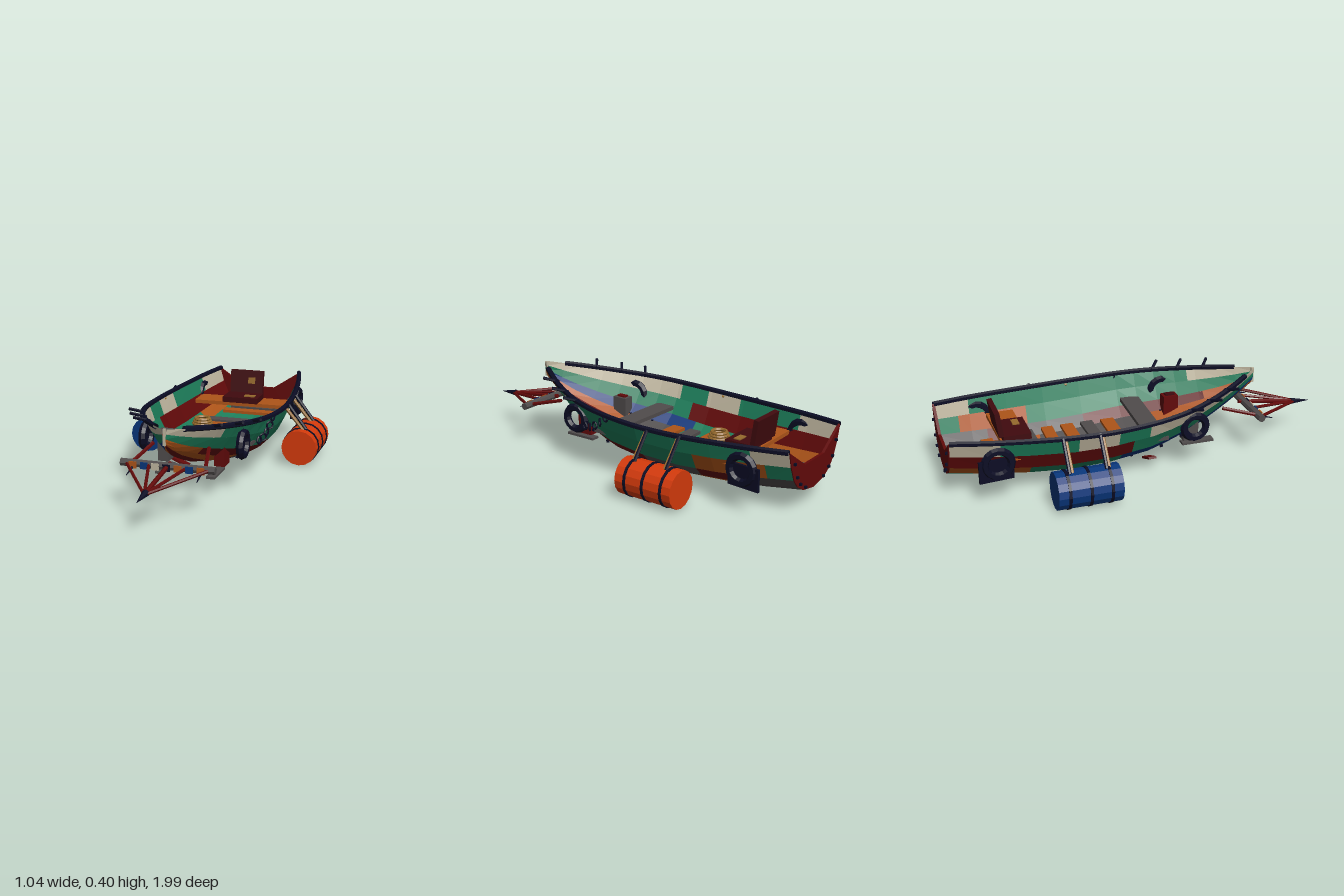
import * as THREE from 'three';

const COLORS = {
  cream: 0xbfb69f, green: 0x1d7d5a, gray: 0x504c4c, wood: 0xae5519, red: 0x620a0a,
  blue: 0x08367a, orange: 0xd43a0b, navy: 0x0b0c24, tan: 0x966a2c, brown: 0x400a0e,
};

// hull stations: z, half width, keel height, sheer height
const STATIONS = [
  [-0.98, 0.24, 0.085, 0.325], [-0.8, 0.28, 0.06, 0.32], [-0.6, 0.312, 0.04, 0.315],
  [-0.4, 0.335, 0.03, 0.312], [-0.2, 0.343, 0.04, 0.315], [0, 0.33, 0.068, 0.325],
  [0.1, 0.312, 0.088, 0.332], [0.2, 0.283, 0.112, 0.34], [0.3, 0.24, 0.142, 0.35],
  [0.4, 0.188, 0.18, 0.362], [0.5, 0.125, 0.225, 0.376], [0.58, 0.068, 0.272, 0.388], [0.655, 0.012, 0.325, 0.4],
];
const U = [0, 0.4, 0.63, 0.78, 0.91, 1];
const V = [0, 0.07, 0.2, 0.38, 0.68, 1];
const TOP = 5;

function station(z) {
  let i = 0;
  while (i < STATIONS.length - 2 && z > STATIONS[i + 1][0]) i++;
  const a = STATIONS[i], b = STATIONS[i + 1], t = (z - a[0]) / (b[0] - a[0]);
  return a.map((v, k) => v + (b[k] - v) * t);
}

// point on the hull at strake line k; sections turn to a V toward the bow
function hullPoint(z, k, side) {
  const [, w, keel, sheer] = station(z);
  const bow = Math.max(0, z / 0.655) * 0.75;
  const u = U[k] + (Math.pow(V[k], 0.8) - U[k]) * bow;
  return new THREE.Vector3(side * w * u, keel + (sheer - keel) * V[k], z);
}

// planking from keel to sheer: colour and the z where each plank ends
const PLANKS = {
  1: [
    [['green', 0.1], ['red', 0.655]],
    [['gray', -0.7], ['wood', -0.45], ['gray', 0.08], ['wood', 0.655]],
    [['gray', -0.72], ['red', -0.5], ['gray', -0.2], ['red', 0.42], ['wood', 0.655]],
    [['green', -0.86], ['wood', -0.5], ['green', 0.655]],
    [['cream', -0.8], ['green', 0.36], ['cream', 0.655]],
  ],
  '-1': [
    [['green', 0.1], ['red', 0.655]],
    [['green', -0.1], ['gray', 0.15], ['wood', 0.655]],
    [['wood', -0.6], ['green', -0.15], ['blue', 0.655]],
    [['red', -0.1], ['green', 0.655]],
    [['cream', -0.75], ['green', -0.38], ['cream', -0.18], ['green', -0.02], ['cream', 0.655]],
  ],
};

export function createModel() {
  const root = new THREE.Group();
  const M = {};
  for (const [name, color] of Object.entries(COLORS)) {
    M[name] = new THREE.MeshStandardMaterial({ color, flatShading: true, side: THREE.DoubleSide });
    M[name].name = name;
  }
  const add = (name, geo, mat, x = 0, y = 0, z = 0, rx = 0, ry = 0, rz = 0) => {
    const m = new THREE.Mesh(geo, M[mat]);
    m.name = name;
    m.position.set(x, y, z);
    m.rotation.set(rx, ry, rz);
    root.add(m);
    return m;
  };
  const box = (name, mat, w, h, d, x, y, z, rx, ry, rz) => add(name, new THREE.BoxGeometry(w, h, d), mat, x, y, z, rx, ry, rz);
  const rod = (name, mat, a, b, r, r2 = r, sides = 6) => {
    const p = new THREE.Vector3(...a), q = new THREE.Vector3(...b), d = q.clone().sub(p);
    const m = add(name, new THREE.CylinderGeometry(r2, r, d.length(), sides), mat);
    m.position.copy(p).add(q).multiplyScalar(0.5);
    m.quaternion.setFromUnitVectors(new THREE.Vector3(0, 1, 0), d.normalize());
  };

  // hull planks
  for (const side of [1, -1]) {
    PLANKS[side].forEach((strake, k) => {
      let z0 = -0.98;
      for (const [color, z1] of strake) {
        const zs = [z0, ...STATIONS.map(s => s[0]).filter(z => z > z0 + 0.001 && z < z1 - 0.001), z1];
        const pos = [], idx = [];
        zs.forEach((z, i) => {
          pos.push(...hullPoint(z, k, side).toArray(), ...hullPoint(z, k + 1, side).toArray());
          if (!i) return;
          const a = 2 * i - 2;
          idx.push(...(side > 0 ? [a, a + 1, a + 2, a + 1, a + 3, a + 2] : [a, a + 2, a + 1, a + 1, a + 2, a + 3]));
        });
        const g = new THREE.BufferGeometry();
        g.setAttribute('position', new THREE.Float32BufferAttribute(pos, 3));
        g.setIndex(idx);
        g.computeVertexNormals();
        add('hullPlank', g, color);
        z0 = z1;
      }
    });
  }

  // transom with a dipped top edge
  const outline = [];
  for (let k = TOP; k >= 0; k--) outline.push(hullPoint(-0.98, k, -1));
  for (let k = 1; k <= TOP; k++) outline.push(hullPoint(-0.98, k, 1));
  const transom = new THREE.Shape(outline.map(p => new THREE.Vector2(p.x, p.y)));
  transom.lineTo(0.09, 0.225);
  transom.lineTo(-0.09, 0.225);
  add('transom', new THREE.ExtrudeGeometry(transom, { depth: 0.014, bevelEnabled: false }), 'red', 0, 0, -0.985);
  for (let k = 1; k < TOP; k++) for (const s of [1, -1]) {
    const p = hullPoint(-0.98, k, s * 0.9);
    box('transomBolt', 'navy', 0.012, 0.012, 0.012, p.x, p.y + 0.012, -0.99);
  }
  box('stemPost', 'cream', 0.012, 0.08, 0.014, 0, 0.362, 0.652);

  for (const s of [1, -1]) {
    // gunwale rail
    const rail = STATIONS.slice(0, 12).map(([z]) => hullPoint(z, TOP, s));
    add('gunwale', new THREE.TubeGeometry(new THREE.CatmullRomCurve3(rail), 40, 0.014, 6), 'navy');
    // pegs along the bow
    for (const z of [0.2, 0.32, 0.44]) {
      const p = hullPoint(z, TOP, s);
      rod('railPeg', 'navy', [p.x - s * 0.01, p.y, z - 0.01], [p.x + s * 0.055, p.y + 0.025, z + 0.04], 0.008);
    }
    // tyre fenders, hung flat along the sides
    add('frontTyre', new THREE.TorusGeometry(0.058, 0.02, 6, 16), 'navy', s * 0.25, 0.235, 0.235, 0, Math.PI / 2, 0);
    add('rearTyre', new THREE.TorusGeometry(0.064, 0.02, 6, 16), 'navy', s * 0.282, 0.21, -0.765, 0, Math.PI / 2, 0);
    box('fenderPad', 'navy', 0.014, 0.11, 0.17, s * 0.276, 0.175, -0.775, 0, -s * 0.1, 0);
    // barrels with hoops and slings
    const x = s * 0.422;
    add('barrel', new THREE.CylinderGeometry(0.093, 0.093, 0.315, 16), s > 0 ? 'orange' : 'blue', x, 0.097, -0.377, Math.PI / 2);
    for (const z of [-0.275, -0.377, -0.48]) {
      add('barrelHoop', new THREE.CylinderGeometry(0.097, 0.097, 0.014, 16), 'navy', x, 0.097, z, Math.PI / 2);
    }
    for (const z of [-0.285, -0.465]) {
      rod('barrelSling', 'navy', [s * 0.342, 0.32, z], [s * 0.445, 0.185, z], 0.009);
      rod('slingPole', 'tan', [s * 0.335, 0.3, z + 0.016], [s * 0.435, 0.18, z + 0.016], 0.009);
    }
    // hull bolts
    for (const [z, k] of [[-0.06, 1], [0.08, 2], [0.2, 2], [-0.3, 1]]) {
      const p = hullPoint(z, k, s);
      box('hullBolt', 'navy', 0.012, 0.014, 0.012, p.x, p.y - 0.006, z);
    }
    // side box, underside board and ram stays
    box('bowBox', s > 0 ? 'red' : 'gray', 0.055, 0.12, 0.08, s * 0.145, 0.185, 0.245);
    box('bowBoxLid', s > 0 ? 'brown' : 'red', 0.03, 0.008, 0.05, s * 0.145, 0.249, 0.245);
    box('underBoard', 'gray', 0.045, 0.012, 0.17, s * 0.13, 0.095, 0.295);
    rod('ramStay', 'red', [s * 0.14, 0.26, 0.43], [s * 0.18, 0.213, 0.61], 0.01);
    for (const w of [0.2, 0.09]) rod('ramRod', 'red', [s * w, 0.213, 0.62], [0, 0.175, 0.91], 0.008);
    rod('ramHook', 'navy', [s * 0.165, 0.205, 0.61], [s * 0.17, 0.18, 0.7], 0.008, 0.002);
  }
  box('underBrace', 'wood', 0.17, 0.014, 0.03, 0, 0.103, 0.29);
  box('bilgeBatten', 'red', 0.11, 0.012, 0.04, -0.15, 0.05, 0.03, 0, 0, -0.4);

  // ram in front of the bow
  rod('ramBeam', 'gray', [-0.23, 0.213, 0.612], [0.23, 0.213, 0.612], 0.019, 0.019, 8);
  rod('ramCentreRod', 'red', [0, 0.218, 0.58], [0, 0.175, 0.91], 0.011);
  rod('ramSpike', 'navy', [0, 0.176, 0.89], [0, 0.168, 0.995], 0.018, 0.001);
  ['wood', 'blue', 'cream', 'navy', 'wood', 'blue', 'wood'].forEach((c, i) => {
    box('ramPatch', c, 0.036, 0.032, 0.006, -0.165 + i * 0.055, 0.21, 0.632);
  });

  // floor slats: colour, z, half width, depth
  const slats = [
    ['gray', -0.845, 0.125, 0.07], ['wood', -0.74, 0.145, 0.06], ['gray', -0.525, 0.185, 0.065],
    ['wood', -0.42, 0.19, 0.06], ['wood', -0.31, 0.19, 0.065], ['gray', -0.2, 0.19, 0.065], ['wood', -0.095, 0.185, 0.07],
  ];
  slats.forEach(([c, z, w, d], i) => box('floorSlat', c, 2 * w, 0.016, d, 0, 0.13, z, 0, (i % 3 - 1) * 0.02, 0));
  box('sternBench', 'wood', 0.53, 0.02, 0.14, 0, 0.215, -0.64, 0, 0.02, 0);
  box('frontThwart', 'gray', 0.52, 0.02, 0.1, 0, 0.2, 0.05, 0, -0.03, 0);

  // seat with back and patch
  box('seatCushion', 'brown', 0.2, 0.03, 0.14, 0, 0.24, -0.63);
  box('seatBack', 'brown', 0.19, 0.13, 0.025, 0, 0.315, -0.715, -0.14);
  box('seatPatch', 'tan', 0.06, 0.006, 0.035, 0.045, 0.257, -0.61);
  box('backPatch', 'tan', 0.04, 0.035, 0.006, 0.03, 0.325, -0.701, -0.14);

  // rope coil on the floor
  for (let i = 0; i < 3; i++) {
    add('ropeCoil', new THREE.TorusGeometry(0.05 - i * 0.006, 0.009, 6, 18), 'tan', -0.155, 0.148 + i * 0.013, -0.365, Math.PI / 2);
  }

  // chain hanging along the left bow
  for (let i = 0; i < 5; i++) {
    const z = -0.02 + i * 0.038;
    const y = 0.32 - 0.09 * Math.sin((i + 0.3) / 4.3 * Math.PI / 2);
    add('chainLink', new THREE.TorusGeometry(0.018, 0.005, 5, 10), 'navy', station(z)[1] * 0.96 + 0.012, y, z, 0, 1.3 - (i % 2) * 0.5, 0);
  }
  return root;
}
